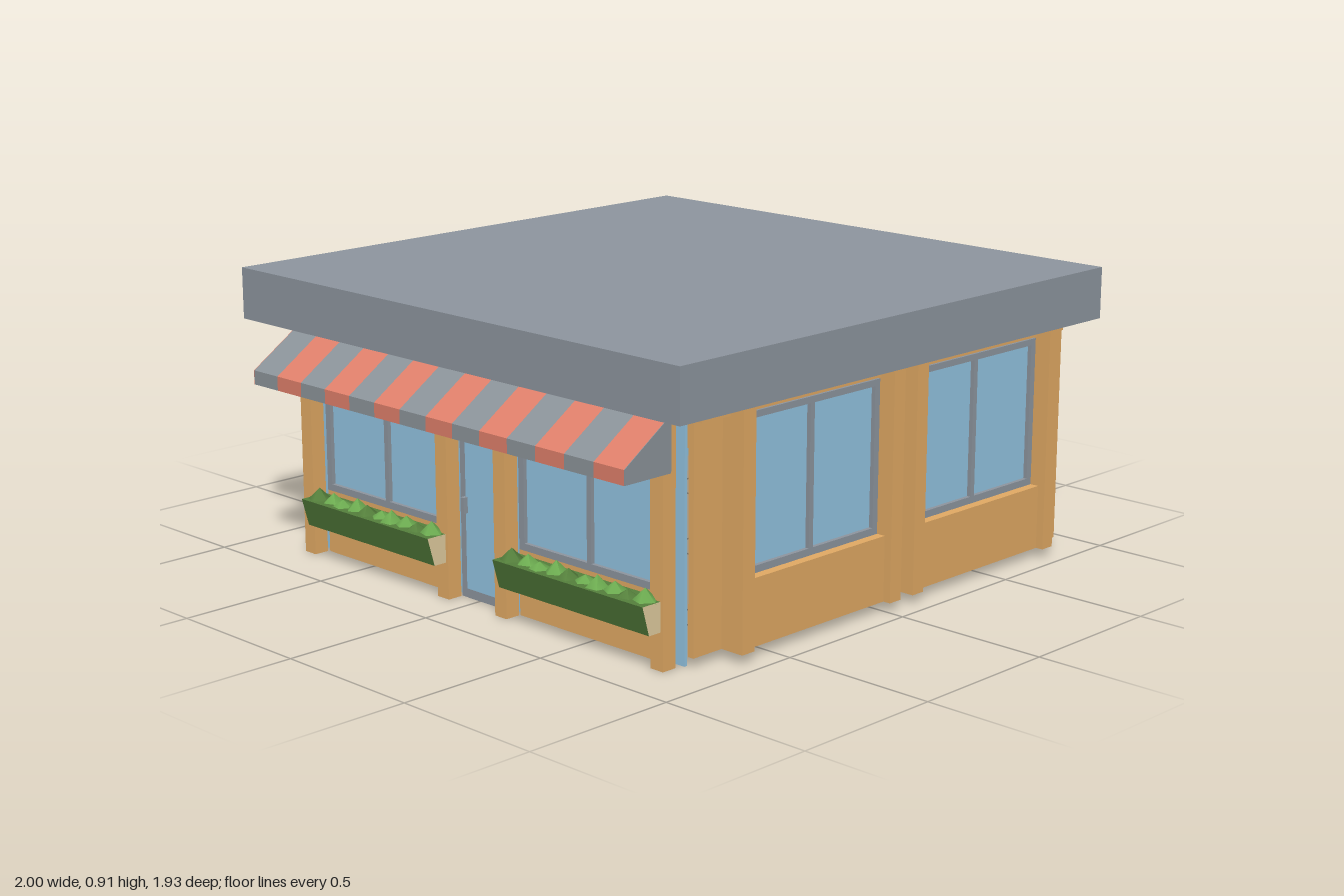
import * as THREE from 'three';

const mat = (name, color, side = THREE.FrontSide) => {
  const m = new THREE.MeshStandardMaterial({ color, side });
  m.name = name;
  return m;
};

export function createModel() {
  const wood = mat('wood', 0xe2aa64);
  const slate = mat('slate grey', 0x8e969f);
  const glass = mat('window blue', 0x93c4e2);
  const red = mat('awning red', 0xe0806b, THREE.DoubleSide);
  const awningGrey = mat('awning grey', 0x8c949a, THREE.DoubleSide);
  const tan = mat('planter tan', 0xe2cda0);
  const hedge = mat('planter green', 0x55803c);
  const leaf = mat('leaf green', 0x6cab50);
  const steel = mat('cabinet grey', 0xa2a29e);
  const dark = mat('cabinet base grey', 0x5c5c54);

  const model = new THREE.Group();
  model.name = 'kiosk';

  // Box from its minimum and maximum corners
  const box = (parent, name, material, x0, x1, y0, y1, z0, z1) => {
    const m = new THREE.Mesh(new THREE.BoxGeometry(x1 - x0, y1 - y0, z1 - z0), material);
    m.position.set((x0 + x1) / 2, (y0 + y1) / 2, (z0 + z1) / 2);
    m.name = name;
    parent.add(m);
    return m;
  };

  // Profile in x/y extruded along z
  const extrude = (parent, name, material, points, z0, depth) => {
    const shape = new THREE.Shape(points.map(p => new THREE.Vector2(...p)));
    const m = new THREE.Mesh(new THREE.ExtrudeGeometry(shape, { depth, bevelEnabled: false }), material);
    m.position.z = z0;
    m.name = name;
    parent.add(m);
    return m;
  };

  // Two-pane window with sill panel below; z is the wall face
  const addBay = (wall, [a, b], z, sill) => {
    box(wall, 'sillPanel', wood, a, b, 0.03, 0.235, z, z + sill);
    box(wall, 'windowPane', glass, a + 0.01, b - 0.01, 0.245, 0.7, z + 0.002, z + 0.012);
    const mid = (a + b) / 2, f = 0.022;
    for (const [x0, x1] of [[a, a + f], [mid - 0.009, mid + 0.009], [b - f, b]])
      box(wall, 'windowUpright', slate, x0, x1, 0.257, 0.69, z, z + 0.025);
    for (const [y0, y1] of [[0.235, 0.257], [0.69, 0.71]])
      box(wall, 'windowRail', slate, a, b, y0, y1, z, z + 0.025);
  };

  // Local x runs along the wall, local z points outwards
  const addWall = (name, angle, { face, bays, posts, door, beam, lower = 0, postDepth = 0.08, sill = 0.055 }) => {
    const wall = new THREE.Group();
    wall.name = name;
    wall.rotation.y = angle;
    wall.position.y = -lower;
    bays.forEach(bay => addBay(wall, bay, face, sill));
    for (const p of posts)
      box(wall, 'post', wood, p - 0.025, p + 0.025, 0.03, 0.748, face + 0.08 - postDepth, face + 0.08);
    if (beam) box(wall, 'topBeam', wood, beam[0], beam[1], 0.715, 0.748, face, face + 0.03);
    if (door) {
      const [a, b] = door;
      box(wall, 'doorFrame', slate, a, b, 0.03, 0.748, face, face + 0.025);
      box(wall, 'doorGlass', glass, a + 0.027, b - 0.025, 0.06, 0.59, face + 0.025, face + 0.029);
      box(wall, 'doorHandle', slate, a + 0.022, a + 0.036, 0.3, 0.35, face + 0.029, face + 0.045);
    }
    model.add(wall);
  };

  // Roof slab
  box(model, 'roof', slate, -0.91, 1, 0.746, 0.911, -0.967, 0.962);

  // Hollow shell, open underneath
  const shell = new THREE.Group();
  shell.name = 'shell';
  model.add(shell);
  box(shell, 'frontShell', wood, -0.76, 0.89, 0.03, 0.745, 0.85, 0.87);
  box(shell, 'backShell', wood, -0.76, 0.89, 0.03, 0.745, -0.83, -0.81);
  box(shell, 'rightShell', wood, 0.85, 0.87, 0.03, 0.745, -0.81, 0.85);
  box(shell, 'ceiling', wood, -0.76, 0.85, 0.72, 0.74, -0.81, 0.85);
  box(shell, 'rightGlassStrip', glass, 0.87, 0.875, 0.7, 0.745, -0.75, 0.79);
  box(shell, 'rightGlassFoot', glass, 0.855, 0.865, 0, 0.03, -0.78, 0.84);
  box(shell, 'leftGlassSheet', glass, -0.765, -0.755, 0, 0.72, -0.78, 0.84);
  for (const [z0, z1] of [[0.83, 0.895], [-0.86, -0.8]])
    box(shell, 'cornerPost', wood, 0.83, 0.89, 0.03, 0.745, z0, z1);

  // Four walls
  const frontBays = [[-0.595, 0], [0.155, 0.755]];
  const frontPosts = [-0.62, 0.025, 0.132, 0.78];
  addWall('frontWall', 0, { face: 0.87, bays: frontBays, posts: frontPosts, beam: [-0.76, 0.89] });
  addWall('backWall', Math.PI, {
    face: 0.83, bays: frontBays.map(([a, b]) => [-b, -a]), posts: frontPosts.map(p => -p), beam: [-0.89, 0.76],
  });
  addWall('rightWall', Math.PI / 2, {
    face: 0.87, bays: [[-0.76, -0.165], [0.145, 0.725]], posts: [-0.785, -0.14, 0.117, 0.75], door: [-0.115, 0.092],
  });
  addWall('leftWall', -Math.PI / 2, {
    face: 0.76, bays: [[-0.725, -0.13], [0.18, 0.775]], posts: [-0.755, -0.105, 0.155, 0.805],
    door: [-0.08, 0.13], lower: 0.03, postDepth: 0.05, sill: 0.025,
  });

  // Striped awning with a short valance and closed ends
  const awning = new THREE.Group();
  awning.name = 'awning';
  model.add(awning);
  const sheet = [[-1, 0.575], [-1, 0.62], [-0.82, 0.74], [-0.82, 0.73], [-0.993, 0.615], [-0.993, 0.575]];
  const end = [[-1, 0.575], [-1, 0.62], [-0.82, 0.74], [-0.82, 0.575]];
  const stripe = 1.64 / 14;
  for (let i = 0; i < 14; i++)
    extrude(awning, 'awningStripe', i % 2 ? red : awningGrey, sheet, -0.8 + i * stripe, stripe);
  extrude(awning, 'awningBackEnd', red, end, -0.802, 0.002);
  extrude(awning, 'awningFrontEnd', awningGrey, end, 0.84, 0.002);

  // Window boxes with small plants
  const trough = [[-0.91, 0.205], [-0.885, 0.115], [-0.815, 0.115], [-0.815, 0.205]];
  for (const [z0, z1] of [[-0.7, -0.09], [0.2, 0.82]]) {
    const planter = new THREE.Group();
    planter.name = 'planter';
    model.add(planter);
    extrude(planter, 'planterTrough', [tan, hedge], trough, z0, z1 - z0);
    const count = 10;
    for (let i = 0; i < count; i++) {
      const height = 0.042 - (i % 3) * 0.008;
      const plant = new THREE.Mesh(new THREE.ConeGeometry(0.042, height, 5), i % 4 ? leaf : hedge);
      plant.position.set(-0.865 + (i % 2 ? 0.006 : -0.004), 0.2 + height / 2, z0 + 0.04 + i * (z1 - z0 - 0.08) / (count - 1));
      plant.rotation.y = i * 0.7;
      plant.name = 'plant';
      planter.add(plant);
    }
  }

  // Service counter and cabinets inside
  const counter = new THREE.Group();
  counter.name = 'counter';
  model.add(counter);
  for (const [x0, z0, z1, front] of [[-0.66, 0.17, 0.4, steel], [-0.72, -0.16, 0.07, tan], [-0.74, -0.46, -0.25, steel]]) {
    box(counter, 'cabinetBase', dark, x0, x0 + 0.22, 0.04, 0.2, z0, z1);
    box(counter, 'cabinet', front, x0, x0 + 0.22, 0.2, 0.38, z0, z1);
    box(counter, 'counterTop', tan, x0 - 0.01, x0 + 0.24, 0.38, 0.4, z0 - 0.02, z1 + 0.02);
  }
  return model;
}
